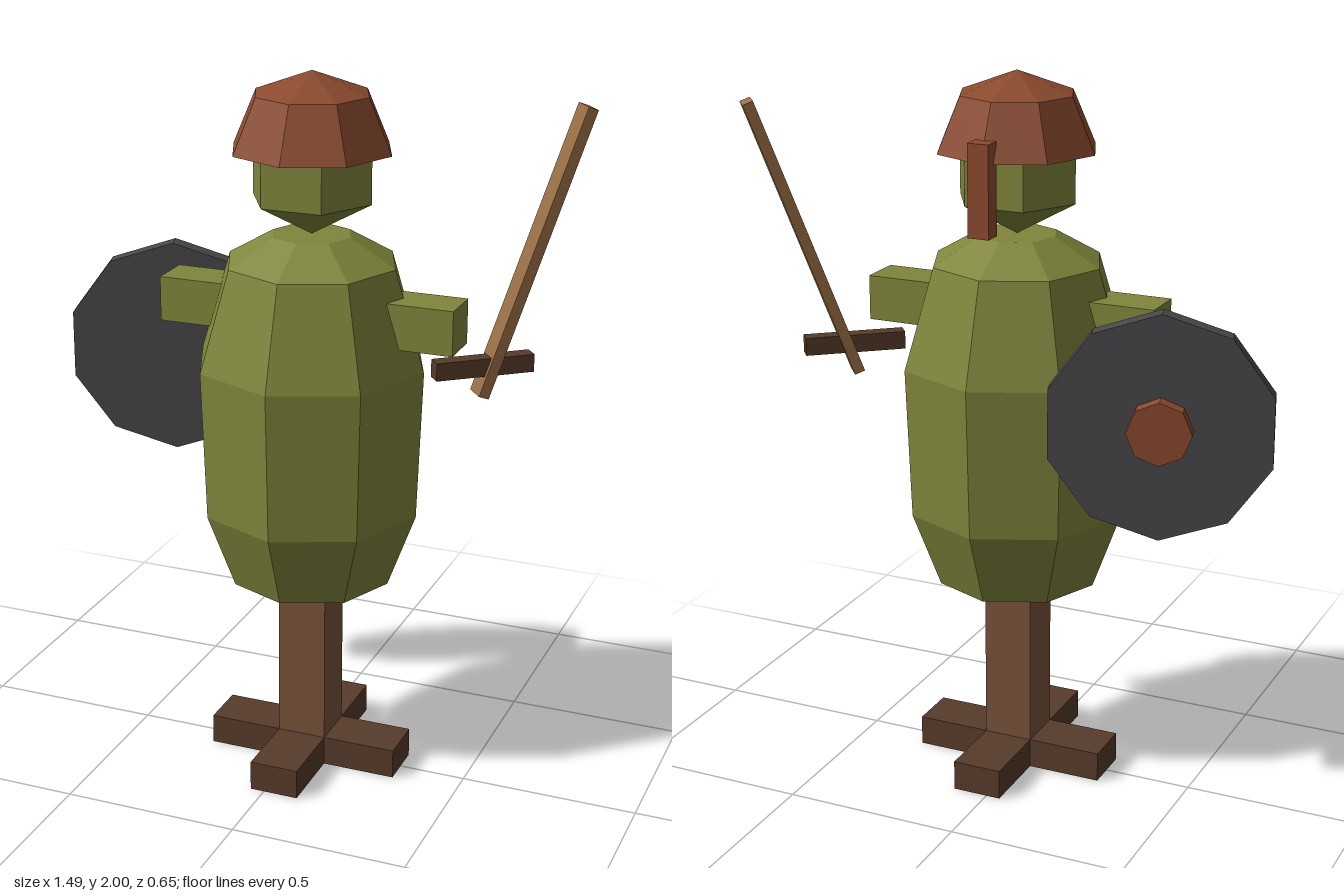
import * as THREE from 'three';

const paint = (color) => new THREE.MeshStandardMaterial({ color, flatShading: true });
const GREEN = paint(0x7f853b), RUST = paint(0x8b4a2e), WOOD = paint(0x785238);
const DARK = paint(0x573b2a), BLADE = paint(0x9a7046), IRON = paint(0x48484b);

const AXIS = 0.03; // x of the post and body

export function createModel() {
  const model = new THREE.Group();
  model.name = 'trainingDummy';

  const add = (name, geometry, material, x, y, z, parent = model) => {
    const mesh = new THREE.Mesh(geometry, material);
    mesh.name = name;
    mesh.position.set(x, y, z);
    parent.add(mesh);
    return mesh;
  };
  const box = (w, h, d) => new THREE.BoxGeometry(w, h, d);
  // faceted solid from [radius, height] pairs, bottom to top
  const turned = (profile, sides, turn = 0) =>
    new THREE.LatheGeometry(profile.map(([r, y]) => new THREE.Vector2(r, y)), sides, turn);

  // crossed feet and post
  add('footAcross', box(0.56, 0.085, 0.14), DARK, AXIS, 0.0425, 0);
  for (const s of [-1, 1]) {
    add(s > 0 ? 'footFront' : 'footBack', box(0.14, 0.085, 0.21), DARK, AXIS, 0.0425, s * 0.175);
  }
  add('post', box(0.14, 0.52, 0.14), WOOD, AXIS, 0.345, 0);

  // stuffed body
  add('body', turned([[0, 0.57], [0.23, 0.57], [0.31, 0.785], [0.325, 1.205],
    [0.24, 1.485], [0.112, 1.56], [0, 1.56]], 8), GREEN, AXIS, 0, 0);

  // arm stubs
  for (const s of [-1, 1]) {
    add(s > 0 ? 'leftArm' : 'rightArm', box(0.3, 0.125, 0.125), GREEN, AXIS + s * 0.273, 1.347, 0);
  }

  // six-sided head with pointed chin
  add('head', turned([[0, 1.56], [0.17, 1.655], [0.17, 1.82], [0, 1.82]], 6, Math.PI / 6),
    GREEN, AXIS, 0, 0);

  // helmet and the strap at its back
  add('helmet', turned([[0, 1.79], [0.225, 1.79], [0.16, 1.94], [0, 2]], 8), RUST, AXIS, 0, 0);
  add('helmetStrap', box(0.06, 0.25, 0.05), RUST, AXIS, 1.722, -0.217);

  // shield on the right arm, with a boss on its outer face
  const shield = new THREE.Group();
  shield.name = 'shield';
  shield.position.set(-0.46, 1.133, -0.172);
  shield.rotation.y = 0.29;
  model.add(shield);
  const disc = (name, r, h, sides, material, z) => {
    add(name, new THREE.CylinderGeometry(r, r, h, sides).rotateX(Math.PI / 2), material, 0, 0, z, shield);
  };
  disc('shieldBoard', 0.31, 0.053, 10, IRON, 0);
  disc('shieldBoss', 0.087, 0.045, 8, RUST, -0.047);

  // wooden sword leaning outward from the left arm
  const sword = new THREE.Group();
  sword.name = 'sword';
  sword.position.set(0.4925, 1.22, -0.085);
  sword.rotation.y = 0.68;
  model.add(sword);
  add('swordGuard', box(0.28, 0.05, 0.043), DARK, 0, 0, 0, sword);
  add('swordBlade', box(0.03, 0.82, 0.065), BLADE, 0.133, 0.303, 0, sword).rotation.z = -0.35;

  return model;
}
